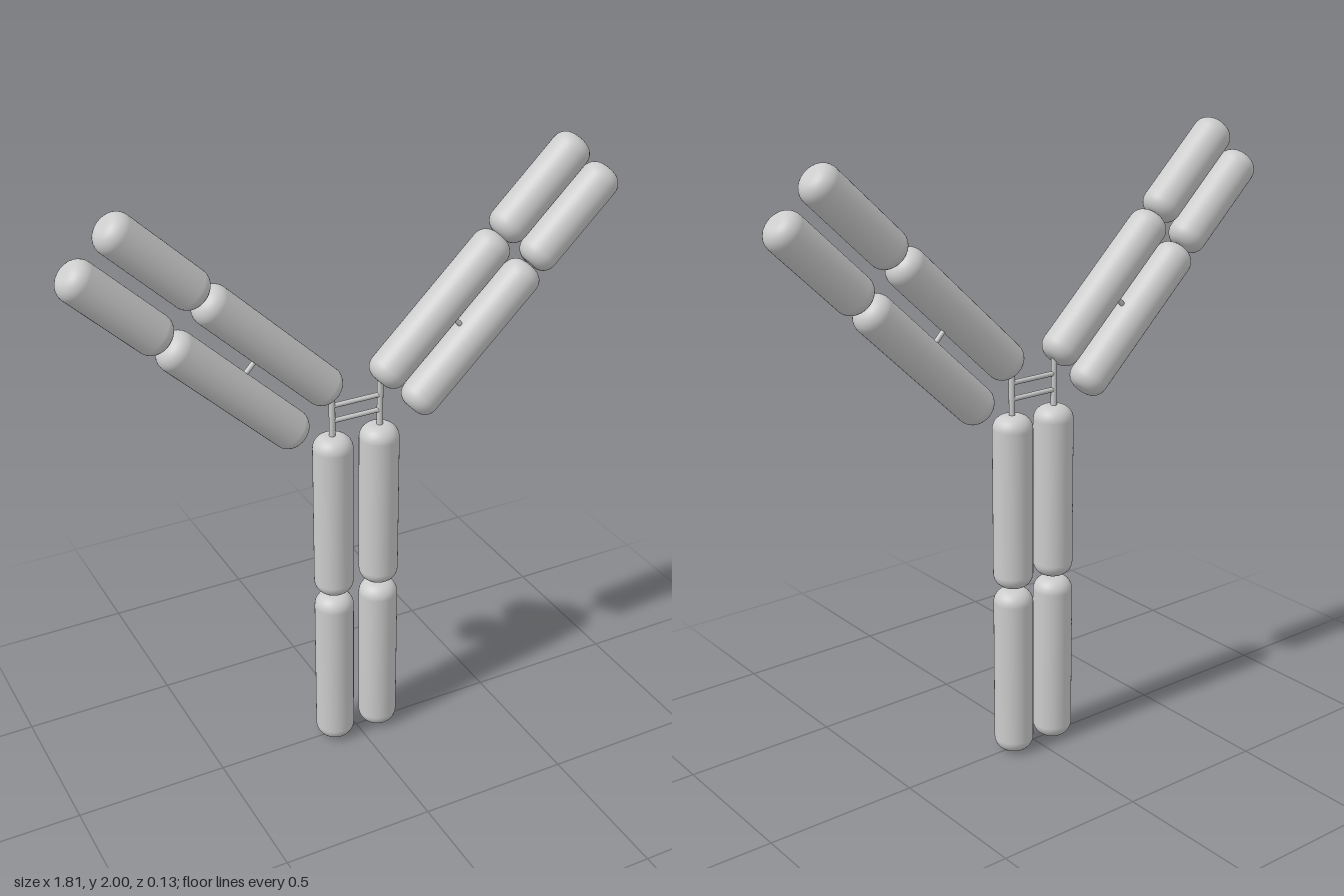
import * as THREE from 'three';

const material = new THREE.MeshStandardMaterial({ color: 0xcccccc });
const RADIUS = 0.064;
const FILLET = 0.045;
const ARM_ANGLE = THREE.MathUtils.degToRad(44);

// Upright rod with rounded end rims, centred on its middle
function roundedRod(length) {
  const profile = [new THREE.Vector2(0, -length / 2)];
  const steps = 8;
  for (const end of [-1, 1]) {
    for (let i = 0; i <= steps; i++) {
      const a = (end < 0 ? i - steps : i) / steps * Math.PI / 2;
      profile.push(new THREE.Vector2(
        RADIUS - FILLET + FILLET * Math.cos(a),
        end * (length / 2 - FILLET) + FILLET * Math.sin(a)));
    }
  }
  profile.push(new THREE.Vector2(0, length / 2));
  return new THREE.LatheGeometry(profile, 40);
}

export function createModel() {
  const model = new THREE.Group();
  const longRod = roundedRod(0.575);
  const shortRod = roundedRod(0.378);

  function addRod(parent, name, geometry, x, y, tilt = 0) {
    const mesh = new THREE.Mesh(geometry, material);
    mesh.name = name;
    mesh.position.set(x, y, 0);
    mesh.rotation.z = tilt;
    parent.add(mesh);
  }

  // Thin connecting bar between two points in the z = 0 plane
  function addBar(parent, name, x1, y1, x2, y2, radius) {
    const length = Math.hypot(x2 - x1, y2 - y1);
    const geometry = new THREE.CylinderGeometry(radius, radius, length, 16);
    addRod(parent, name, geometry, (x1 + x2) / 2, (y1 + y2) / 2,
      Math.atan2(y2 - y1, x2 - x1) - Math.PI / 2);
  }

  for (const [side, s] of [['left', 1], ['right', -1]]) {
    const half = new THREE.Group();
    half.name = side + 'Half';
    model.add(half);

    // Stem
    addRod(half, 'lowerStemRod', longRod, s * 0.081, 0.2875);
    addRod(half, 'upperStemRod', longRod, s * 0.081, 0.872);

    // Arm: inner and outer chains, each with a long and a short rod
    const tilt = s * (ARM_ANGLE - Math.PI / 2);
    addRod(half, 'innerLongRod', longRod, s * 0.286, 1.507, tilt);
    addRod(half, 'innerShortRod', shortRod, s * 0.626, 1.839, tilt);
    addRod(half, 'outerLongRod', longRod, s * 0.4, 1.388, tilt);
    addRod(half, 'outerShortRod', shortRod, s * 0.742, 1.725, tilt);

    // Hinge from stem to arm, and link between the two arm chains
    addBar(half, 'hinge', s * 0.083, 1.14, s * 0.083, 1.33, 0.01);
    addBar(half, 'armLink', s * 0.3, 1.505, s * 0.4, 1.4, 0.008);
  }

  // Bridges between the hinges
  for (const y of [1.21, 1.262]) addBar(model, 'hingeBridge', -0.083, y, 0.083, y, 0.008);

  return model;
}
